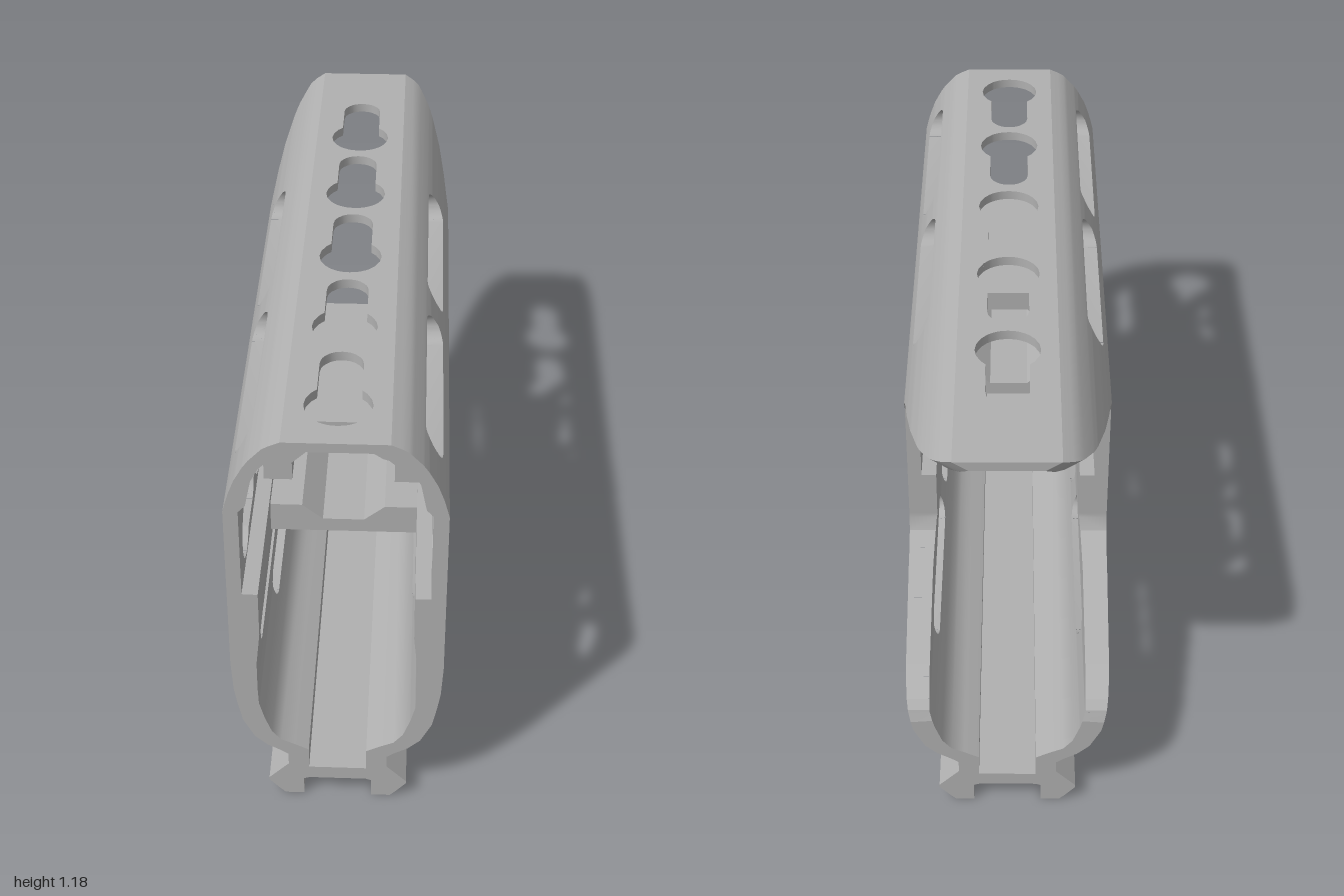
import * as THREE from 'three';
import { toCreasedNormals } from 'three/addons/utils/BufferGeometryUtils.js';

const metal = new THREE.MeshStandardMaterial({ color: 0xb0b0b0 });
metal.name = 'grey metal';

// Linear lookup in rows sorted by descending first column
function lookup(rows, s) {
  for (let k = 0; k < rows.length - 1; k++) {
    const a = rows[k], b = rows[k + 1];
    if (s >= b[0]) {
      const t = Math.min(1, (a[0] - s) / (a[0] - b[0]));
      return a.map((v, j) => v + (b[j] - v) * t);
    }
  }
  return rows[rows.length - 1];
}

// Side wall section: outer y, outer x, inner y, inner x
const WALL = [
  [1.176, 0.13, 1.15, 0.09], [1.165, 0.155, 1.135, 0.112], [1.155, 0.173, 1.128, 0.135],
  [1.12, 0.206, 1.115, 0.165], [1.1, 0.22, 1.095, 0.184], [1.06, 0.242, 1.06, 0.202],
  [1.02, 0.257, 1.02, 0.21], [0.985, 0.267, 0.985, 0.217], [0.965, 0.272, 0.965, 0.235],
  [0.705, 0.272, 0.705, 0.235], [0.704, 0.272, 0.704, 0.195], [0.57, 0.272, 0.57, 0.195],
  [0.47, 0.272, 0.47, 0.205], [0.38, 0.267, 0.38, 0.205], [0.33, 0.259, 0.33, 0.203],
  [0.27, 0.247, 0.28, 0.19], [0.21, 0.217, 0.23, 0.172], [0.18, 0.185, 0.2, 0.148],
  [0.16, 0.15, 0.185, 0.115], [0.146, 0.13, 0.165, 0.076],
];
// Rear edge of the side wall: y, z
const REAR = [
  [1.176, -1], [1.165, -0.985], [1.145, -0.95], [1.11, -0.87], [1.045, -0.69], [0.99, -0.54],
  [0.97, -0.5], [0.93, -0.475], [0.555, -0.475], [0.52, -0.49], [0.49, -0.53], [0.465, -0.61],
  [0.395, -0.88], [0.355, -0.97], [0.335, -0.99], [0.3, -1], [0.146, -1],
];

// Openings run along z: a and b are the centres of the round ends
const slot = (s, z0, z1, r = 0.044) => ({ s, r, a: z0 + r, b: z1 - r });
const keyhole = (s, z) => ({ s, r: 0.055, a: z - 0.175, b: z, R: 0.084 });
const chord = (r, d) => (d < r ? Math.sqrt(r * r - d * d) : -1);

function openingSpan(h, s) {
  const d = Math.abs(s - h.s), w = chord(h.r, d), W = h.R ? chord(h.R, d) : -1;
  if (w < 0 && W < 0) return null;
  return [w < 0 ? h.b - W : h.a - w, h.b + Math.max(w, W)];
}

// Thick sheet running along z, built in bands across its section, with openings left out
function sheet(at, breaks, rear, holes) {
  const levels = [...breaks];
  for (const h of holes) {
    for (const r of [h.r, h.R]) {
      if (r) for (let k = 0; k <= 10; k++) levels.push(h.s + r * Math.cos((k * Math.PI) / 10));
    }
  }
  const S = [...new Set(levels.map((v) => Number(v.toFixed(3))))].sort((a, b) => a - b);
  const pos = [];
  const quad = (a, b, c, d) => pos.push(...a, ...b, ...c, ...a, ...c, ...d);
  const solid = (s) => {
    const spans = holes.map((h) => openingSpan(h, s)).filter(Boolean).sort((a, b) => a[0] - b[0]);
    const edges = [rear(s), ...spans.flat(), 1], out = [];
    for (let k = 0; k < edges.length; k += 2) out.push([edges[k], edges[k + 1]]);
    return out;
  };
  for (let k = 0; k < S.length - 1; k++) {
    const [o0, i0] = at(S[k]), [o1, i1] = at(S[k + 1]);
    const lower = solid(S[k] + 1e-5), upper = solid(S[k + 1] - 1e-5);
    lower.forEach(([l0, h0], n) => {
      const [l1, h1] = upper[n];
      const A = [...o0, h0], B = [...o0, l0], C = [...o1, l1], D = [...o1, h1];
      const a = [...i0, h0], b = [...i0, l0], c = [...i1, l1], d = [...i1, h1];
      quad(A, B, C, D);
      quad(d, c, b, a);
      quad(a, A, D, d);
      quad(B, b, c, C);
    });
  }
  // Straight long edges of the openings
  for (const h of holes) {
    const end = h.R ? h.b - chord(h.R, h.r) : h.b;
    for (const side of [1, -1]) {
      const [o, i] = at(h.s + side * h.r);
      const q = [[...i, h.a], [...o, h.a], [...o, end], [...i, end]];
      quad(...(side > 0 ? q : q.reverse()));
    }
  }
  const g = new THREE.BufferGeometry();
  g.setAttribute('position', new THREE.Float32BufferAttribute(pos, 3));
  return toCreasedNormals(g, 0.5);
}

// Right half outline of a symmetric section, mirrored and extruded from z0 to z1
function extrude(points, z0, z1, mirror = false) {
  const all = mirror ? [...points, ...points.map(([x, y]) => [-x, y]).reverse()] : points;
  const shape = new THREE.Shape(all.map(([x, y]) => new THREE.Vector2(x, y)));
  return new THREE.ExtrudeGeometry(shape, { depth: z1 - z0, bevelEnabled: false }).translate(0, 0, z0);
}

export function createModel() {
  const root = new THREE.Group();
  root.name = 'ventilatedRailTube';
  const add = (name, geo, mirrored = false) => {
    const m = new THREE.Mesh(geo, metal);
    m.name = name;
    if (mirrored) m.scale.x = -1;
    root.add(m);
  };
  const addPair = (name, geo) => {
    add(name + 'Left', geo);
    add(name + 'Right', geo, true);
  };

  // Side walls with slots and keyholes
  const keyZ = [0.845, 0.5, 0.15, -0.2];
  const wallHoles = [
    slot(1.07, 0.31, 0.875), slot(1.07, -0.35, 0.215),
    slot(0.46, 0.31, 0.875), slot(0.46, -0.35, 0.215),
    slot(0.312, -0.015, 0.54), slot(0.312, -0.675, -0.115),
    ...keyZ.map((z) => keyhole(0.8, z)),
  ];
  const wallAt = (s) => {
    const [oy, ox, iy, ix] = lookup(WALL, s);
    return [[ox, oy], [ix, iy]];
  };
  const wallBreaks = [...WALL, ...REAR].map((r) => r[0]);
  addPair('sideWall', sheet(wallAt, wallBreaks, (s) => lookup(REAR, s)[1], wallHoles));

  // Flat roof with a row of keyholes
  const roofAt = (s) => [[-s, 1.176], [-Math.max(-0.09, Math.min(0.09, s)), 1.15]];
  const roofHoles = [...keyZ, -0.55].map((z) => keyhole(0, z));
  add('roof', sheet(roofAt, [-0.13, -0.09, 0.09, 0.13], () => -1, roofHoles));

  // Bottom rail with its neck
  add('railBase', extrude([
    [0.076, 0.1], [0.076, 0.165], [0.13, 0.146], [0.13, 0.11], [0.183, 0.055], [0.09, 0.055], [0.075, 0.06],
  ], -1, 1, true));

  // Rail teeth
  const teeth = [[0.92, 1], [-1, -0.74]];
  for (let k = 0; k < 9; k++) teeth.push([0.745 - k * 0.174, 0.83 - k * 0.174]);
  const tooth = [[0.09, 0], [0.14, 0], [0.155, 0.015], [0.183, 0.047], [0.183, 0.055], [0.09, 0.055]];
  for (const [z0, z1] of teeth) addPair('railTooth', extrude(tooth, z0, z1));

  // Inner clamp: upper cap, its legs, and the lower cradle
  add('clampCap', extrude([[0.055, 0.897], [0.093, 0.86], [0.238, 0.86], [0.238, 0.955]], 0.04, 0.61, true));
  const leg = [[0.093, 0.86], [0.135, 0.82], [0.135, 0.765], [0.21, 0.765], [0.21, 0.86]];
  for (const [z0, z1] of [[0.49, 0.61], [0.285, 0.375], [0.04, 0.16]]) addPair('clampLeg', extrude(leg, z0, z1));
  add('clampCradle', extrude([[0.055, 0.635], [0.11, 0.68], [0.195, 0.68], [0.195, 0.595]], 0.04, 0.61, true));

  // Clamp bolts
  for (const z of [0.43, 0.22]) {
    const cyl = (r, y0, y1, x, n) => new THREE.CylinderGeometry(r, r, y1 - y0, n).translate(x, (y0 + y1) / 2, z);
    addPair('boltShank', cyl(0.028, 0.59, 0.96, 0.183, 16));
    addPair('boltHead', toCreasedNormals(cyl(0.033, 0.955, 0.978, 0.185, 6), 0.5));
    addPair('boltNut', toCreasedNormals(cyl(0.036, 0.58, 0.595, 0.16, 6), 0.5));
  }
  return root;
}
